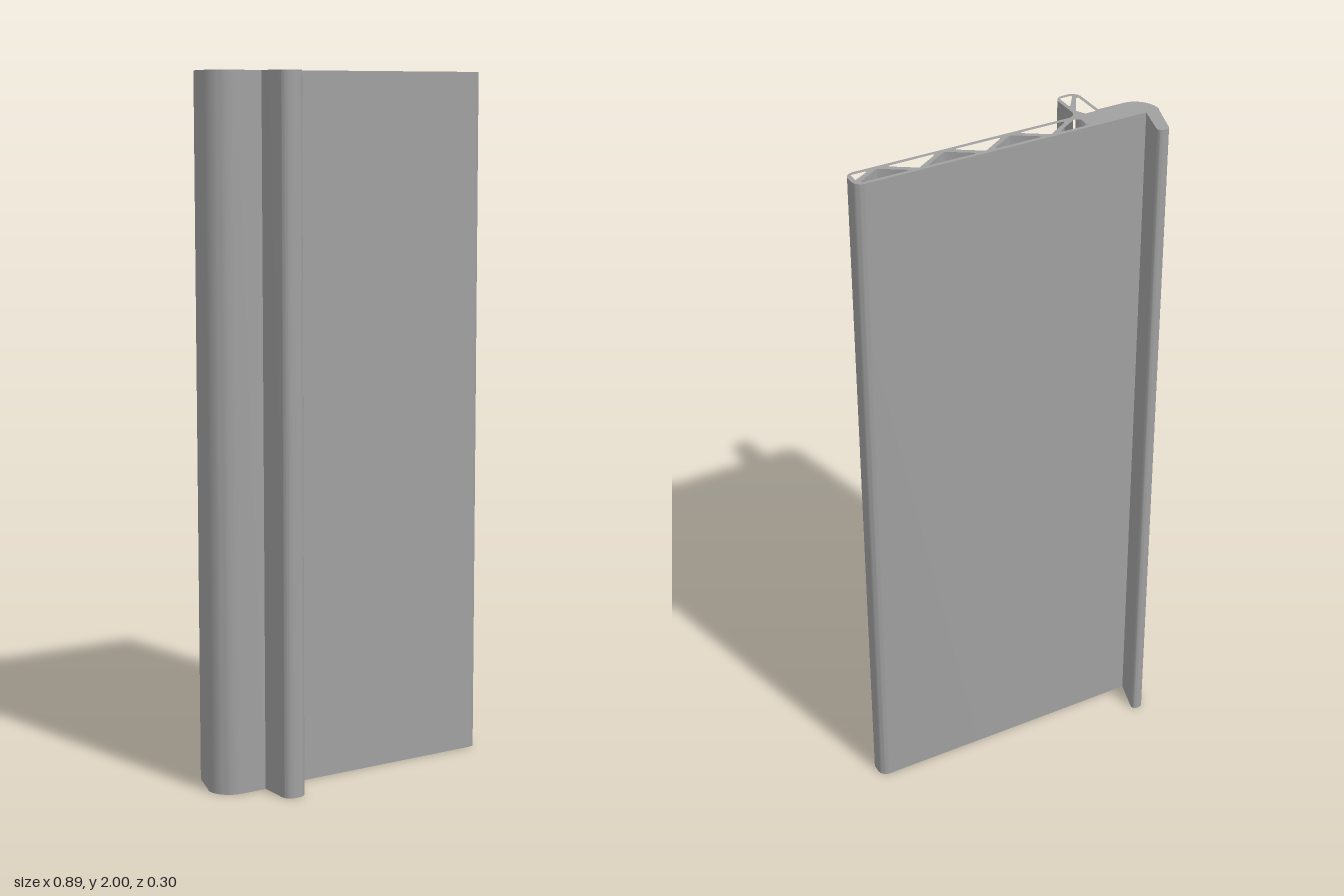
import * as THREE from 'three';
import { toCreasedNormals } from 'three/addons/utils/BufferGeometryUtils.js';

const HEIGHT = 2;

// Trace a closed polygon of [x, z, cornerRadius], rounding each corner.
function trace(path, corners) {
  const n = corners.length;
  const pts = corners.map(([x, z]) => new THREE.Vector2(x, -z));
  for (let i = 0; i < n; i++) {
    const p = pts[i], r = corners[i][2] || 0;
    const toPrev = pts[(i + n - 1) % n].clone().sub(p).normalize();
    const toNext = pts[(i + 1) % n].clone().sub(p).normalize();
    const half = Math.acos(THREE.MathUtils.clamp(toPrev.dot(toNext), -1, 1)) / 2;
    const t = r / Math.tan(half);
    const a = p.clone().addScaledVector(toPrev, t);
    const b = p.clone().addScaledVector(toNext, t);
    if (i === 0) path.moveTo(a.x, a.y); else path.lineTo(a.x, a.y);
    if (r > 0) {
      // Cubic that closely follows a circular arc
      const k = (4 / 3) * Math.tan((Math.PI - 2 * half) / 4) * r;
      const c1 = a.clone().addScaledVector(toPrev, -k);
      const c2 = b.clone().addScaledVector(toNext, -k);
      path.bezierCurveTo(c1.x, c1.y, c2.x, c2.y, b.x, b.y);
    }
  }
  path.closePath();
  return path;
}

export function createModel() {
  const group = new THREE.Group();
  group.name = 'hollowPanelProfile';
  const grey = new THREE.MeshStandardMaterial({ color: 0xa0a0a0 });
  grey.name = 'grey';

  // Outer section: hooked lip, solid shoulder, long panel and short leg
  const section = trace(new THREE.Shape(), [
    [-0.408, -0.153, 0.013], [-0.373, -0.153, 0.013], // lip tip
    [-0.403, -0.045],
    [0.443, -0.045, 0.026], [0.443, 0.026, 0.026],    // panel end
    [-0.233, 0.026, 0.026],                           // fillet into the leg
    [-0.233, 0.148, 0.027], [-0.302, 0.148, 0.027],   // leg foot
    [-0.302, 0.033],
    [-0.455, 0.033, 0.066], [-0.446, -0.032, 0.004],  // rounded shoulder
  ]);

  const cut = (corners) => section.holes.push(trace(new THREE.Path(), corners));

  // Panel chambers between zigzag webs
  const top = -0.034, bottom = 0.014, pitch = 0.191, r = 0.002;
  cut([[-0.232, top, r], [-0.153, top, r], [-0.153, top + 0.006, r],
    [-0.217, bottom - 0.002, r], [-0.232, 0.004, r]]);
  for (let i = 0; i < 3; i++) {
    const a = -0.122 + i * pitch;       // chamber standing on the front skin
    cut([[a - 0.064, bottom, r], [a - 0.064, bottom - 0.005, r], [a, top + 0.001, r],
      [a + 0.064, bottom - 0.005, r], [a + 0.064, bottom, r]]);
    const b = -0.025 + i * pitch;       // chamber hanging from the back skin
    cut([[b - 0.065, top, r], [b - 0.065, top + 0.005, r], [b, bottom - 0.001, r],
      [b + 0.065, top + 0.005, r], [b + 0.065, top, r]]);
  }
  cut([[0.388, bottom, r], [0.388, bottom - 0.005, r], [0.43, -0.016, r], [0.43, bottom, r]]);

  // Leg chambers on either side of the slanted web
  cut([[-0.292, 0.027, r], [-0.26, 0.027, r], [-0.246, 0.053, r],
    [-0.285, 0.118, r], [-0.292, 0.118, r]]);
  cut([[-0.248, 0.086, r], [-0.244, 0.086, r], [-0.244, 0.137, r],
    [-0.28, 0.137, r], [-0.28, 0.131, r]]);

  // Extrude the section upwards
  let geometry = new THREE.ExtrudeGeometry(section, {
    depth: HEIGHT, bevelEnabled: false, curveSegments: 10,
  });
  geometry.rotateX(-Math.PI / 2);
  geometry.clearGroups();
  geometry = toCreasedNormals(geometry, Math.PI / 7);

  const profile = new THREE.Mesh(geometry, grey);
  profile.name = 'panelWithLipAndLeg';
  group.add(profile);
  return group;
}
